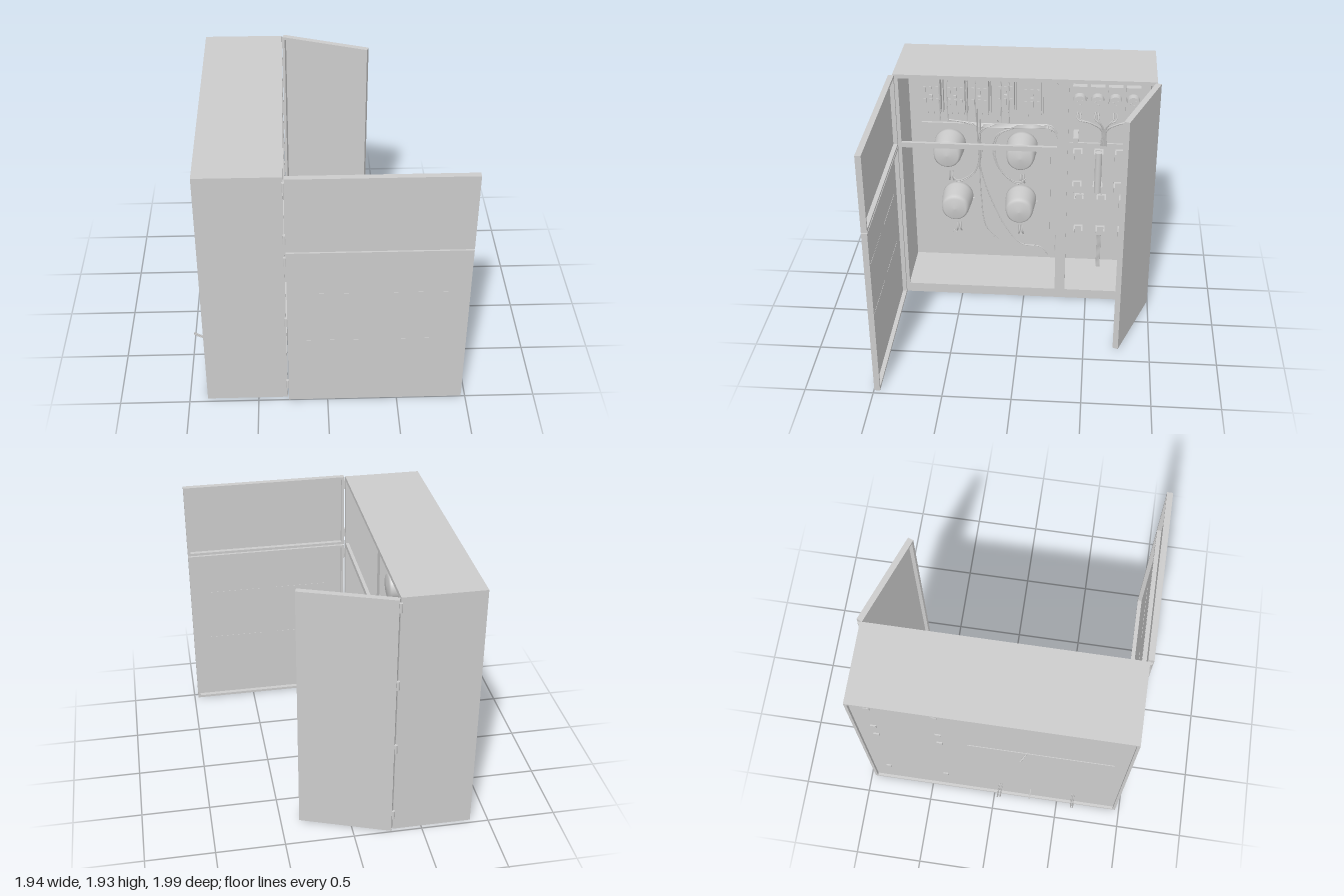
import * as THREE from 'three';

const mat = new THREE.MeshStandardMaterial({ color: 0xcccccc, side: THREE.DoubleSide });

function add(parent, name, geo, x = 0, y = 0, z = 0) {
  const m = new THREE.Mesh(geo, mat);
  m.name = name;
  m.position.set(x, y, z);
  parent.add(m);
  return m;
}

// box given by its limits on each axis
function slab(parent, name, x0, x1, y0, y1, z0, z1) {
  return add(parent, name, new THREE.BoxGeometry(x1 - x0, y1 - y0, z1 - z0),
    (x0 + x1) / 2, (y0 + y1) / 2, (z0 + z1) / 2);
}

function rectPath(P, x0, x1, y0, y1) {
  const p = new P();
  p.moveTo(x0, y0); p.lineTo(x1, y0); p.lineTo(x1, y1); p.lineTo(x0, y1); p.closePath();
  return p;
}

// flat plate with rectangular holes, thickness along z
function frameGeo(outer, holes, depth) {
  const s = rectPath(THREE.Shape, ...outer);
  s.holes = holes.map(h => rectPath(THREE.Path, ...h));
  return new THREE.ExtrudeGeometry(s, { depth, bevelEnabled: false });
}

// tray-like door: outer sheet at +z, rim turned inwards
function door(parent, name, w, y0, y1) {
  const g = new THREE.Group();
  g.name = name;
  slab(g, name + 'Sheet', 0, w, y0, y1, 0.01, 0.02);
  add(g, name + 'Rim', frameGeo([0, w, y0, y1], [[0.02, w - 0.02, y0 + 0.02, y1 - 0.02]], 0.032), 0, 0, -0.022);
  parent.add(g);
  return g;
}

// wire through points given as [across, up, depth]
function wire(parent, pts, r = 0.005) {
  const c = new THREE.CatmullRomCurve3(pts.map(p => new THREE.Vector3(...p)), false, 'centripetal');
  return add(parent, 'wire', new THREE.TubeGeometry(c, pts.length * 7, r, 6));
}

// Inside the cabinet group: x runs across the opening, z is depth, +z is the open side
function buildShell(g) {
  slab(g, 'ceiling', -0.97, 0.97, 1.92, 1.94, -0.87, -0.3);
  slab(g, 'floor', -0.97, 0.97, 0.01, 0.03, -0.87, -0.3);
  for (const s of [-1, 1]) {
    slab(g, 'sideWall', s * 0.96 - 0.01, s * 0.96 + 0.01, 0.03, 1.92, -0.87, -0.3);
  }
  slab(g, 'backWall', -0.95, 0.95, 0.03, 1.92, -0.85, -0.84);
  add(g, 'openingFrame', frameGeo([-0.97, 0.97, 0.01, 1.94], [
    [-0.93, 0.25, 0.09, 1.34], [-0.93, 0.25, 1.38, 1.91], [0.33, 0.93, 0.09, 1.91],
  ], 0.025), 0, 0, -0.315);
  slab(g, 'lowerMountingPlate', -0.86, 0.18, 0.29, 1.29, -0.855, -0.82);
  slab(g, 'upperMountingPlate', -0.86, 0.24, 1.38, 1.83, -0.82, -0.8);
}

function buildContactor(parent, x, y, w) {
  const g = new THREE.Group();
  g.name = 'contactor';
  g.position.set(x, y, -0.8);
  slab(g, 'contactorBase', -w / 2, w / 2, -0.18, 0.18, 0, 0.05);
  slab(g, 'contactorBody', -w / 2 + 0.01, w / 2 - 0.01, -0.14, 0.14, 0.05, 0.13);
  slab(g, 'contactorButton', -0.012, 0.012, -0.01, 0.01, 0.13, 0.15);
  for (let i = -1; i <= 1; i++) {
    const cx = i * w * 0.29;
    for (const s of [-1, 1]) {
      slab(g, 'contactorLug', cx - 0.01, cx + 0.01, s * 0.05 - 0.026, s * 0.05 + 0.026, 0.13, 0.14);
      slab(g, 'terminal', cx - 0.016, cx + 0.016, s * 0.16 - 0.018, s * 0.16 + 0.018, 0.05, 0.09);
    }
  }
  parent.add(g);
}

// round sounder with a tapered bracket below it
function buildDrum(parent, x, y) {
  const g = new THREE.Group();
  g.name = 'drumUnit';
  g.position.set(x, y, -0.82);
  const profile = [[0.1, 0], [0.125, 0.015], [0.125, 0.05], [0.113, 0.2], [0.106, 0.235], [0.09, 0.25], [0, 0.258]];
  const geo = new THREE.LatheGeometry(profile.map(p => new THREE.Vector2(...p)), 40).rotateX(Math.PI / 2);
  add(g, 'drum', geo);
  const s = new THREE.Shape([[-0.135, -0.03], [-0.08, -0.3], [0.07, -0.3], [0.135, -0.03]].map(p => new THREE.Vector2(...p)));
  add(g, 'drumBracket', new THREE.ExtrudeGeometry(s, { depth: 0.015, bevelEnabled: false }));
  for (const [px, py] of [[-0.01, -0.14], [0.01, -0.17], [-0.005, -0.2]]) {
    slab(g, 'bracketScrew', px - 0.008, px + 0.008, py - 0.012, py + 0.012, 0.015, 0.03);
  }
  for (const s2 of [-0.012, 0.012]) {
    wire(g, [[s2, -0.26, 0.02], [s2, -0.31, 0.03], [s2 * 1.6, -0.35, 0.01]], 0.007);
  }
  parent.add(g);
}

// right-hand bay: two raised plates with sockets and fuse clips
function buildFuseBay(g) {
  slab(g, 'socketPlate', 0.33, 0.88, 1.46, 1.83, -0.7, -0.685);
  slab(g, 'fusePlate', 0.33, 0.88, 0.37, 1.22, -0.7, -0.685);
  for (const x of [0.38, 0.83]) {
    for (const y of [0.35, 1.24, 1.44, 1.85]) {
      slab(g, 'standoff', x - 0.02, x + 0.02, y - 0.02, y + 0.02, -0.86, -0.685);
    }
  }
  for (let i = 0; i < 4; i++) {
    const x = 0.405 + i * 0.136;
    slab(g, 'socketBlock', x - 0.055, x + 0.055, 1.52, 1.73, -0.685, -0.63);
    add(g, 'socketCap', new THREE.CylinderGeometry(0.048, 0.05, 0.06, 24).rotateX(Math.PI / 2), x, 1.63, -0.6);
    for (const [dx, dy] of [[-0.018, 0], [0.018, 0.012], [0.005, -0.022]]) {
      add(g, 'socketPin', new THREE.CylinderGeometry(0.008, 0.008, 0.01, 10).rotateX(Math.PI / 2), x + dx, 1.63 + dy, -0.567);
    }
    for (const d of [-0.012, 0.012]) {
      const end = 0.6 + (i - 1.5) * 0.012 + d * 0.3;
      wire(g, [[x + d, 1.53, -0.65], [x + d, 1.46, -0.62], [(x + end) / 2, 1.43, -0.62], [end, 1.36, -0.64], [end, 1.21, -0.67]], 0.006);
    }
  }
  for (const [xs, ys] of [[[0.4, 0.565, 0.73], [1.14, 0.845]], [[0.42, 0.6, 0.78], [0.73, 0.43]]]) {
    for (const x of xs) for (const y of ys) {
      slab(g, 'clipBase', x - 0.036, x + 0.036, y - 0.035, y + 0.035, -0.685, -0.66);
      for (const s of [-1, 1]) {
        slab(g, 'clipJaw', x + s * 0.032 - 0.006, x + s * 0.032 + 0.006, y - 0.035, y + 0.035, -0.66, -0.59);
      }
    }
  }
  add(g, 'fuse', new THREE.CylinderGeometry(0.027, 0.027, 0.36, 20), 0.565, 0.995, -0.62);
  for (let i = 0; i < 4; i++) {
    const x = 0.58 + i * 0.008;
    wire(g, [[x, 0.38, -0.71], [x, 0.25, -0.72], [x, 0.04, -0.72]]);
  }
}

function buildWiring(g) {
  // loops over the tops of the contactors
  for (const [a, b, h] of [[-0.68, -0.6, 1.88], [-0.62, -0.52, 1.86], [-0.47, -0.36, 1.87], [-0.4, -0.28, 1.85], [-0.2, -0.08, 1.87], [-0.14, -0.06, 1.84]]) {
    wire(g, [[a, 1.4, -0.64], [a, 1.72, -0.64], [a + 0.02, h - 0.03, -0.66], [(a + b) / 2 + 0.01, h, -0.67], [b, h - 0.04, -0.69], [b + 0.01, 1.75, -0.73]]);
  }
  wire(g, [[-0.77, 1.76, -0.74], [-0.81, 1.82, -0.71], [-0.8, 1.86, -0.7]]);
  wire(g, [[0, 1.75, -0.73], [0.05, 1.81, -0.68], [0.18, 1.81, -0.66], [0.25, 1.7, -0.66], [0.26, 1.4, -0.66]]);
  // drum leads gathered into the run at the edge
  for (let i = 0; i < 4; i++) {
    const o = i * 0.009;
    wire(g, [[-0.63 + i * 0.05, 1.35 - o, -0.76], [-0.38, 1.335 - o, -0.74], [0, 1.335 - o, -0.74], [0.19, 1.33 - o, -0.74],
      [0.245, 1.2, -0.74], [0.25 + o * 0.4, 0.7, -0.75], [0.235 + o, 0.3, -0.76], [0.23 + o, 0.09, -0.76]]);
  }
  for (const s of [0, 0.014]) {
    wire(g, [[-0.62, 0.82, -0.79], [-0.58, 0.79 - s, -0.78], [-0.45, 0.87 - s, -0.77], [-0.39 + s, 1.05, -0.76], [-0.39 + s, 1.25, -0.75], [-0.3, 1.32, -0.74]]);
    wire(g, [[-0.02, 0.82, -0.79], [-0.08, 0.79 - s, -0.78], [-0.2, 0.87, -0.77], [-0.28 + s, 1.05, -0.76], [-0.25 + s, 1.23, -0.75], [-0.1, 1.31, -0.74]]);
  }
  wire(g, [[-0.39, 1.5, -0.66], [-0.4, 1.2, -0.73], [-0.38, 0.9, -0.76], [-0.3, 0.62, -0.77], [-0.18, 0.35, -0.78], [-0.05, 0.19, -0.79], [0.1, 0.17, -0.79], [0.17, 0.09, -0.8]]);
  wire(g, [[-0.37, 1.4, -0.68], [-0.39, 1, -0.75], [-0.385, 0.65, -0.77], [-0.35, 0.36, -0.78], [-0.25, 0.23, -0.8]]);
  // tails leaving through the back
  for (const x of [-0.04, -0.06, -0.61, -0.625]) {
    wire(g, [[x, 0.28, -0.8], [x, 0.285, -0.88], [x, 0.31, -0.94], [x, 0.33, -0.97]]);
  }
  wire(g, [[-0.29, 0.23, -0.82], [-0.285, 0.225, -0.88], [-0.285, 0.22, -0.93]]);
  wire(g, [[-0.25, 1.32, -0.83], [-0.23, 1.29, -0.87], [-0.2, 1.26, -0.91]]);
}

export function createModel() {
  const root = new THREE.Group();
  root.name = 'switchCabinet';

  // cabinet is built facing +z, then turned so that it opens to +x
  const cab = new THREE.Group();
  cab.name = 'cabinet';
  cab.rotation.y = Math.PI / 2;
  root.add(cab);
  buildShell(cab);
  [[-0.75, 1.6, 0.165], [-0.56, 1.6, 0.165], [-0.375, 1.6, 0.165], [-0.17, 1.62, 0.155], [0.035, 1.6, 0.165]]
    .forEach(c => buildContactor(cab, ...c));
  [[-0.63, 1.125], [-0.05, 1.12], [-0.58, 0.64], [-0.06, 0.63]].forEach(c => buildDrum(cab, ...c));
  buildFuseBay(cab);
  buildWiring(cab);

  // two doors on the front edge
  const upper = door(root, 'upperDoor', 1.25, 1.36, 1.94);
  const lower = door(root, 'lowerDoor', 1.25, 0.01, 1.35);
  for (const d of [upper, lower]) d.position.set(-0.28, 0, 0.977);
  for (const y of [0.58, 1.0]) {
    for (const x of [0.125, 0.68]) slab(lower, 'doorSeam', x, x + 0.43, y - 0.003, y + 0.003, 0.008, 0.021);
  }

  // tall door on the rear edge, swung open
  const rear = new THREE.Group();
  rear.name = 'rearDoorHinge';
  rear.position.set(-0.28, 0, -0.978);
  rear.rotation.y = -0.35;
  door(rear, 'rearDoor', 0.68, 0.015, 1.935).scale.z = -1;
  root.add(rear);

  // hinge knuckles
  for (const [z, ys] of [[0.978, [0.15, 0.74, 1.27, 1.455, 1.87]], [-0.978, [0.15, 0.74, 1.27, 1.87]]]) {
    for (const y of ys) add(root, 'hinge', new THREE.CylinderGeometry(0.013, 0.013, 0.07, 14), -0.287, y, z);
  }
  return root;
}
